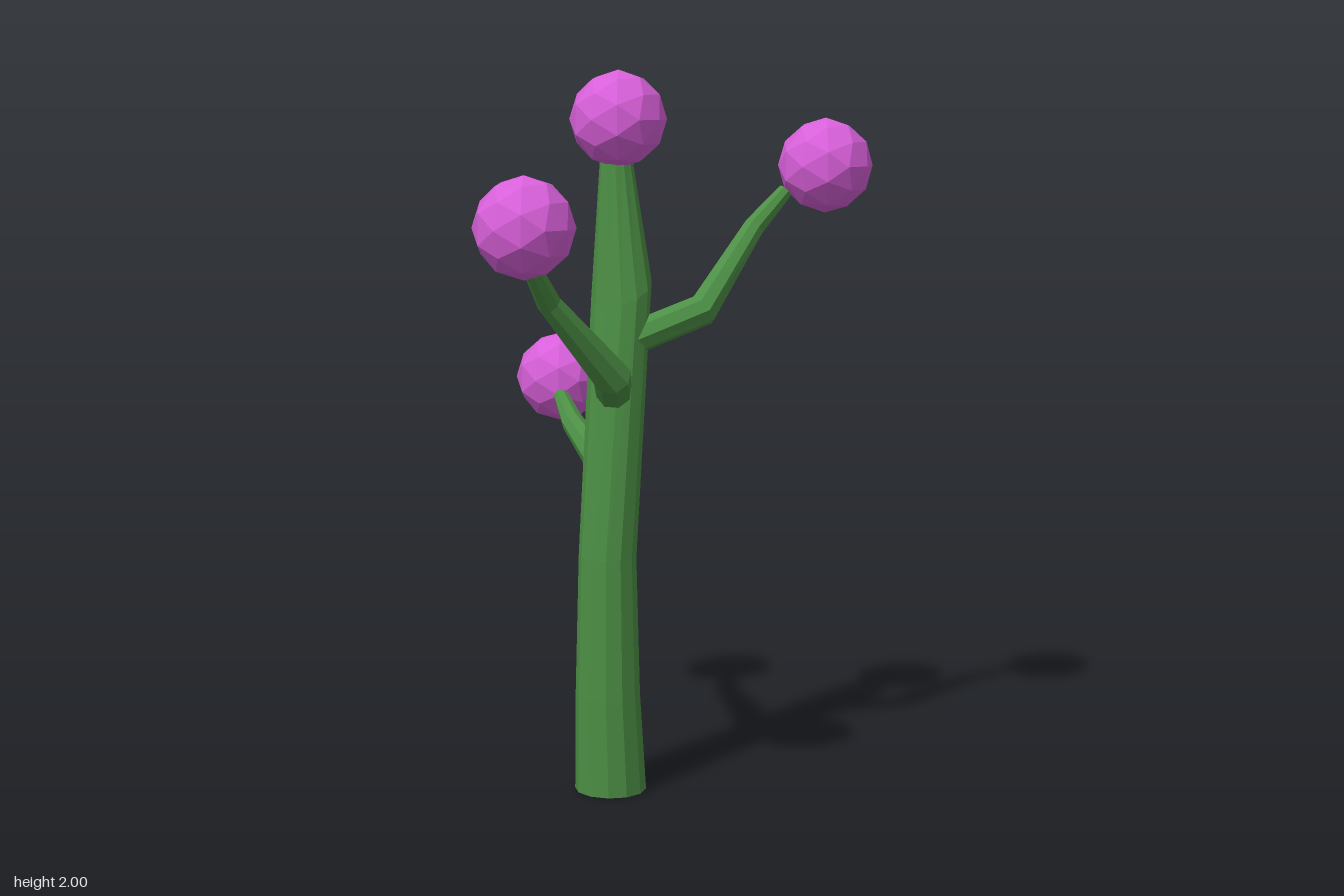
import * as THREE from 'three';

const green = new THREE.MeshStandardMaterial({ color: 0x4c8f45, flatShading: true });
const pink = new THREE.MeshStandardMaterial({ color: 0xd860da, flatShading: true });

// Tapered limb through rings [x, y, z, radius, optional ring normal], bent from a cylinder
function limb(name, rings, sides) {
  const n = rings.length - 1;
  const centres = rings.map(([x, y, z]) => new THREE.Vector3(x, y, z));
  const dirs = [];
  for (let i = 0; i < n; i++) dirs.push(centres[i + 1].clone().sub(centres[i]).normalize());

  // Mitre each joint and carry the ring orientation along without twist
  const turns = [];
  let last = new THREE.Vector3(0, 1, 0);
  let turn = new THREE.Quaternion();
  rings.forEach((ring, i) => {
    const normal = ring[4]
      ? new THREE.Vector3(...ring[4]).normalize()
      : dirs[Math.max(i - 1, 0)].clone().add(dirs[Math.min(i, n - 1)]).normalize();
    turn = new THREE.Quaternion().setFromUnitVectors(last, normal).multiply(turn);
    turns.push(turn);
    last = normal;
  });

  const geometry = new THREE.CylinderGeometry(1, 1, 1, sides, n);
  const position = geometry.attributes.position;
  const v = new THREE.Vector3();
  for (let k = 0; k < position.count; k++) {
    v.fromBufferAttribute(position, k);
    const i = Math.round((v.y + 0.5) * n);
    v.y = 0;
    v.multiplyScalar(rings[i][3]).applyQuaternion(turns[i]).add(centres[i]);
    position.setXYZ(k, v.x, v.y, v.z);
  }
  geometry.computeVertexNormals();
  const mesh = new THREE.Mesh(geometry, green);
  mesh.name = name;
  return mesh;
}

function bloom(name, x, y, z) {
  const mesh = new THREE.Mesh(new THREE.IcosahedronGeometry(0.132, 1), pink);
  mesh.position.set(x, y, z);
  mesh.name = name;
  return mesh;
}

export function createModel() {
  const tree = new THREE.Group();
  tree.name = 'tree';

  // Trunk, gently bent, with a slanted joint before the tip
  tree.add(limb('trunk', [
    [0.045, 0, -0.02, 0.1, [0, 1, 0]],
    [0.045, 0.28, -0.005, 0.09],
    [0.047, 0.67, 0, 0.08],
    [0.06, 1.41, -0.048, 0.086, [0, 0.165, 0.1]],
    [0.045, 1.8, -0.04, 0.04],
  ], 12));
  tree.add(bloom('topBloom', 0.06, 1.87, -0.03));

  // Branches: root, knee, mid joint and tip, each ending in a bloom
  const branches = [
    ['front', [[0.075, 1.13, 0.01, 0.05], [0.125, 1.185, 0.095, 0.053],
      [0.068, 1.4, 0.31, 0.033], [0.09, 1.54, 0.45, 0.022]], [0.148, 1.615, 0.535]],
    ['backLeft', [[0.09, 1.27, -0.035, 0.046], [0.24, 1.35, -0.18, 0.046],
      [0.28, 1.565, -0.385, 0.031], [0.335, 1.665, -0.465, 0.022]], [0.42, 1.735, -0.538]],
    ['backRight', [[0.03, 0.84, -0.07, 0.05], [-0.055, 0.845, -0.185, 0.05],
      [-0.27, 0.98, -0.295, 0.033], [-0.36, 1.045, -0.365, 0.022]], [-0.424, 1.085, -0.458]],
  ];
  for (const [side, rings, tip] of branches) {
    tree.add(limb(side + 'Branch', rings, 8));
    tree.add(bloom(side + 'Bloom', ...tip));
  }
  return tree;
}
